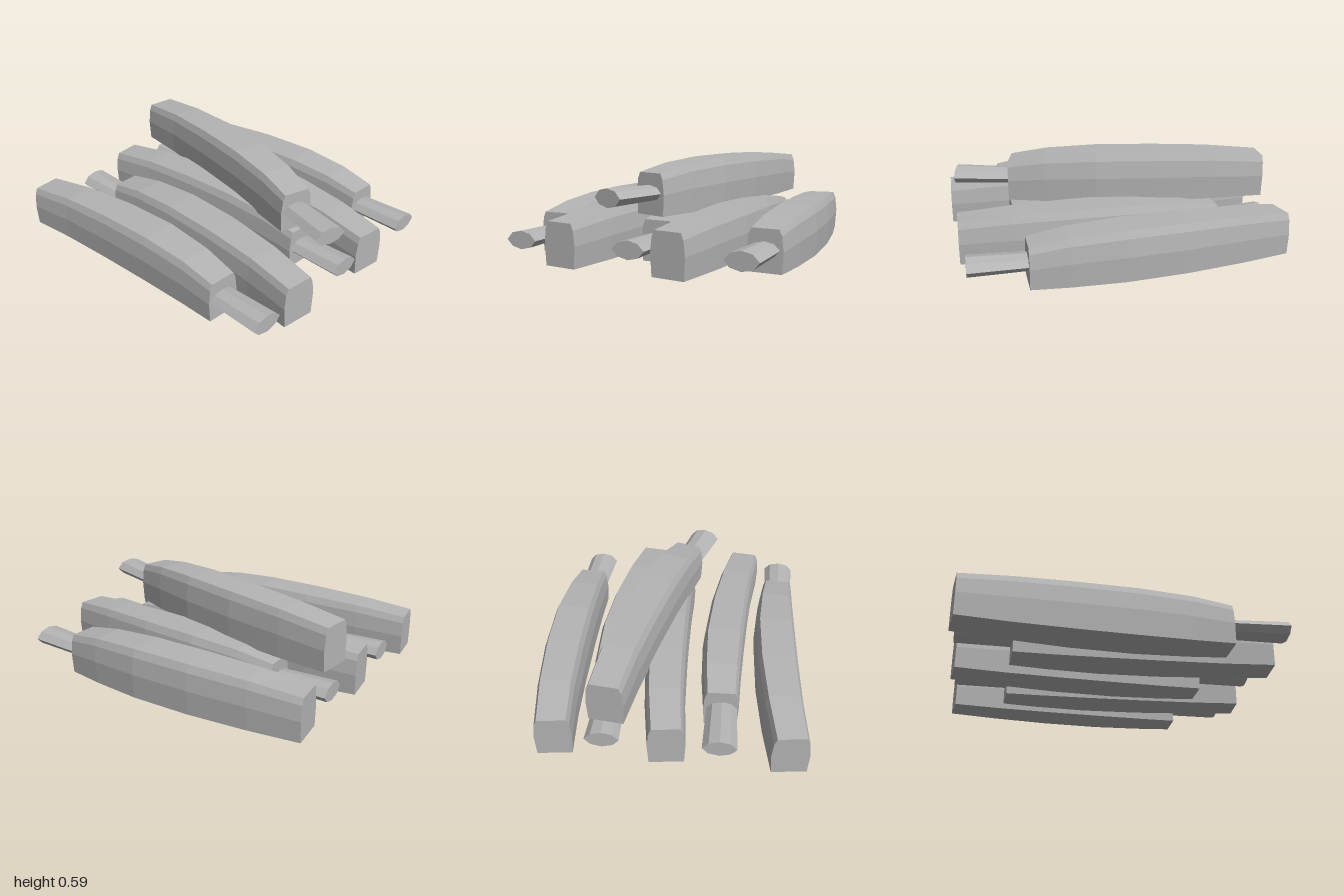
import * as THREE from 'three';

const stone = new THREE.MeshStandardMaterial({ color: 0xb4b4b4, flatShading: true });
stone.name = 'grey stone';

// Joins equal-sized rings (front bottom -> over the top -> back bottom), capped at both ends
function loft(rings) {
  const n = rings[0].length, index = [], last = (rings.length - 1) * n;
  for (let i = 0; i < rings.length - 1; i++) {
    for (let j = 0; j < n; j++) {
      const k = (j + 1) % n, a = i * n, b = a + n;
      index.push(a + j, b + j, b + k, a + j, b + k, a + k);
    }
  }
  for (let j = 1; j < n - 1; j++) {
    index.push(0, j, j + 1, last, last + j + 1, last + j);
  }
  const indexed = new THREE.BufferGeometry();
  indexed.setAttribute('position', new THREE.Float32BufferAttribute(rings.flat(2), 3));
  indexed.setIndex(index);
  const geometry = indexed.toNonIndexed();
  geometry.computeVertexNormals();
  return geometry;
}

// Body stations: x, centre z, half width, height, skew of the slice
const stations = [
  [-0.985, 0.088, 0.112, 0.265, 0.13],
  [-0.67, 0.043, 0.124, 0.297, 0.1],
  [-0.3, 0.008, 0.137, 0.312, 0.06],
  [0.08, -0.01, 0.139, 0.314, 0],
  [0.4, -0.006, 0.125, 0.295, -0.03],
  [0.635, 0.007, 0.11, 0.255, -0.04],
];
// Half of the body outline: width factor, height factor
const side = [[0.93, 0], [1, 0.5], [0.91, 0.85], [0.76, 1]];
const outline = [...side, ...side.map(([w, h]) => [-w, h]).reverse()];

const bodyGeometry = loft(stations.map(([x, z, half, height, skew]) =>
  outline.map(([w, h]) => [x + skew * w * half, h * height, z + w * half])));

// Flat eight-sided peg: x, centre y, centre z, half height, half width
const pegOutline = [[1, -0.02], [0.62, 0.75], [0, 1], [-0.62, 0.75], [-1, 0.02], [-0.65, -0.7], [0, -1], [0.65, -0.7]];
const pegGeometry = loft([
  [0.55, 0.132, 0.01, 0.047, 0.092],
  [0.982, 0.139, 0.02, 0.056, 0.103],
].map(([x, y, z, hh, hw]) =>
  pegOutline.map(([w, h]) => [x - 0.04 * w * hw, y + h * hh, z + w * hw])));

function makePiece(name, x, y, z, turn = 0, mirrored = false) {
  const piece = new THREE.Group();
  piece.name = name;
  const body = new THREE.Mesh(bodyGeometry, stone);
  body.name = 'body';
  const peg = new THREE.Mesh(pegGeometry, stone);
  peg.name = 'peg';
  piece.add(body, peg);
  piece.position.set(x, y, z);
  piece.rotation.y = turn;
  if (mirrored) piece.scale.x = -1;
  return piece;
}

export function createModel() {
  const model = new THREE.Group();
  model.name = 'stackedPieces';
  // Bottom row, alternating direction
  [-0.72, -0.365, -0.05, 0.328, 0.668].forEach((z, i) =>
    model.add(makePiece('rowPiece' + (i + 1), 0, 0, z, 0, i % 2 === 1)));
  // One piece lying askew on top
  model.add(makePiece('topPiece', 0.008, 0.28, -0.152, -0.25));
  return model;
}
